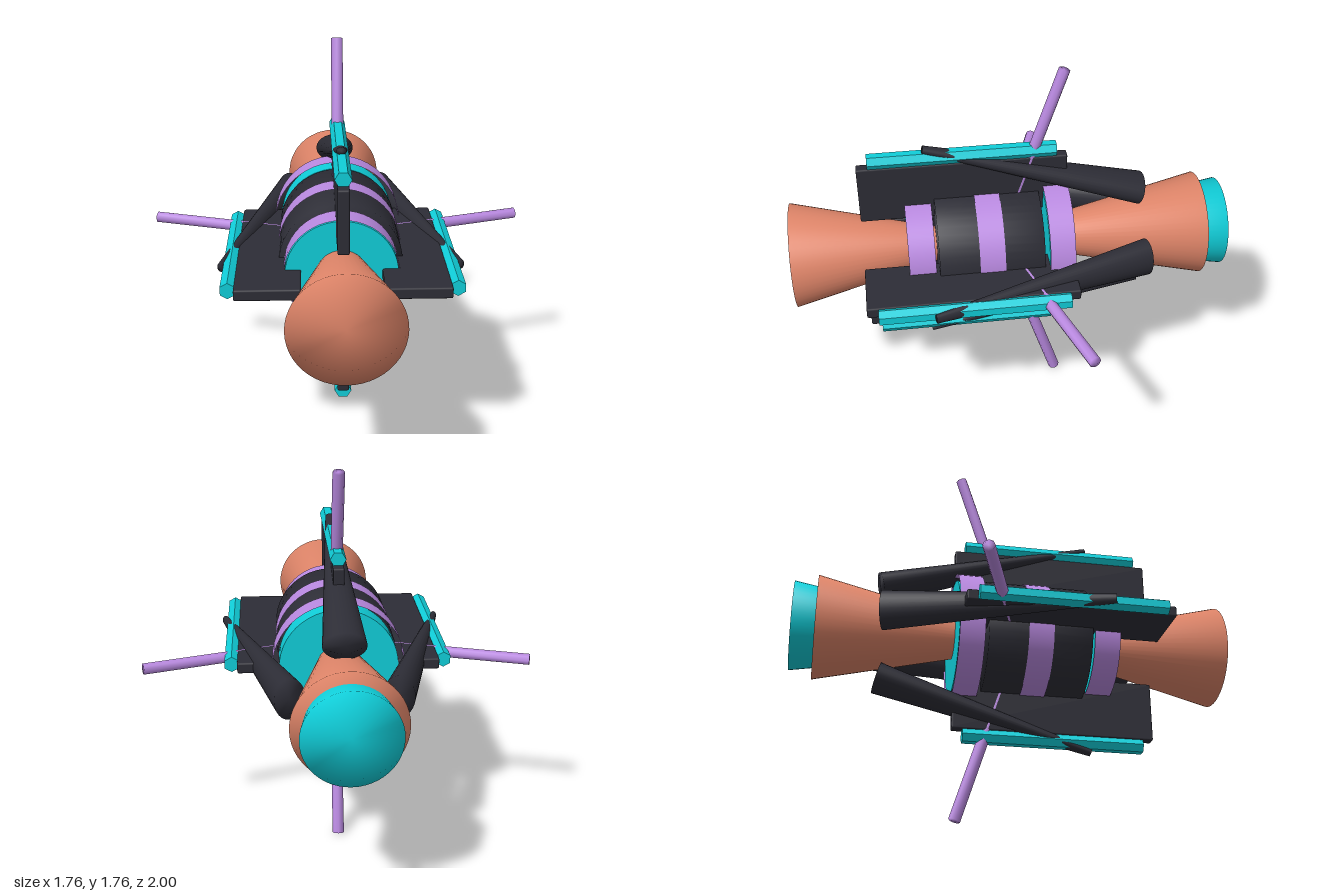
import * as THREE from 'three';
import { mergeVertices } from 'three/addons/utils/BufferGeometryUtils.js';
import { RoundedBoxGeometry } from 'three/addons/geometries/RoundedBoxGeometry.js';

const CENTRE_Y = 0.882;

function material(name, color, side = THREE.FrontSide) {
  const m = new THREE.MeshStandardMaterial({ color, side });
  m.name = name;
  return m;
}

// Shares normals between walls and caps, so the ends shade as if rounded.
function soften(geometry) {
  geometry.deleteAttribute('normal');
  geometry.deleteAttribute('uv');
  const merged = mergeVertices(geometry, 1e-4);
  merged.computeVertexNormals();
  return merged;
}

// Cylinder lying along z, from zBack to zFront.
function axial(rBack, rFront, zBack, zFront, sides = 48, open = false) {
  return new THREE.CylinderGeometry(rFront, rBack, zFront - zBack, sides, 1, open)
    .rotateX(Math.PI / 2)
    .translate(0, 0, (zBack + zFront) / 2);
}

// Tapered rod between two [radius, z] points in the y-z plane, flattened by squash.
function rod(from, to, rFrom, rTo, sides, squash = 1) {
  const a = new THREE.Vector3(0, ...from);
  const b = new THREE.Vector3(0, ...to);
  const dir = b.clone().sub(a);
  const g = new THREE.CylinderGeometry(rTo, rFrom, dir.length(), sides);
  g.scale(1, 1, squash);
  g.rotateX(Math.atan2(dir.z, dir.y));
  g.translate(0, (a.y + b.y) / 2, (a.z + b.z) / 2);
  return soften(g);
}

export function createModel() {
  const copper = material('copper', 0xdf8569);
  const dark = material('charcoal', 0x2d2d36);
  const cyan = material('cyan', 0x10ced9);
  const purple = material('purple', 0xb989e0, THREE.DoubleSide);

  const model = new THREE.Group();
  model.name = 'spacecraft';
  const body = new THREE.Group();
  body.name = 'body';
  body.position.y = CENTRE_Y;
  model.add(body);

  const add = (parent, name, geometry, mat) => {
    const mesh = new THREE.Mesh(geometry, mat);
    mesh.name = name;
    parent.add(mesh);
  };

  // Central hull with flared bells at both ends
  add(body, 'hull', soften(axial(0.273, 0.273, -0.13, 0.345)), dark);
  add(body, 'frontBell', soften(axial(0.045, 0.24, 0.2, 1)), copper);
  add(body, 'rearBell', soften(axial(0.24, 0.065, -0.895, -0.1)), copper);
  add(body, 'rearNozzle', soften(axial(0.205, 0.14, -1, -0.6)), cyan);

  // Bands around the hull, with cores inside the two end ones
  const bands = [
    ['frontBand', 0.25, 0.36, 0.48, 0.245],
    ['middleBand', 0.278, 0.05, 0.165, 0],
    ['rearBand', 0.298, -0.265, -0.15, 0.268],
  ];
  for (const [name, r, back, front, core] of bands) {
    add(body, name, axial(r, r, back, front, 48, true), purple);
    if (core) add(body, name + 'Core', axial(core, core, back + 0.002, front - 0.002), cyan);
  }

  // Four identical arms: fin, rail, tapered strut and antenna
  const fin = new RoundedBoxGeometry(0.05, 0.28, 0.94, 2, 0.008).translate(0, 0.315, 0.21);
  const rail = axial(0.036, 0.036, -0.21, 0.63, 6)
    .toNonIndexed()
    .rotateZ(Math.PI / 2)
    .translate(0, 0.481, 0);
  rail.computeVertexNormals();
  const strut = rod([0.23, -0.605], [0.525, 0.385], 0.094, 0.022, 24, 0.73);
  const antenna = rod([0.27, -0.04], [0.873, -0.236], 0.027, 0.027, 8);

  for (const [i, side] of ['top', 'right', 'bottom', 'left'].entries()) {
    const arm = new THREE.Group();
    arm.name = side + 'Arm';
    arm.rotation.z = (i * Math.PI) / 2;
    add(arm, 'fin', fin, dark);
    add(arm, 'rail', rail, cyan);
    add(arm, 'strut', strut, dark);
    add(arm, 'antenna', antenna, purple);
    body.add(arm);
  }

  return model;
}
